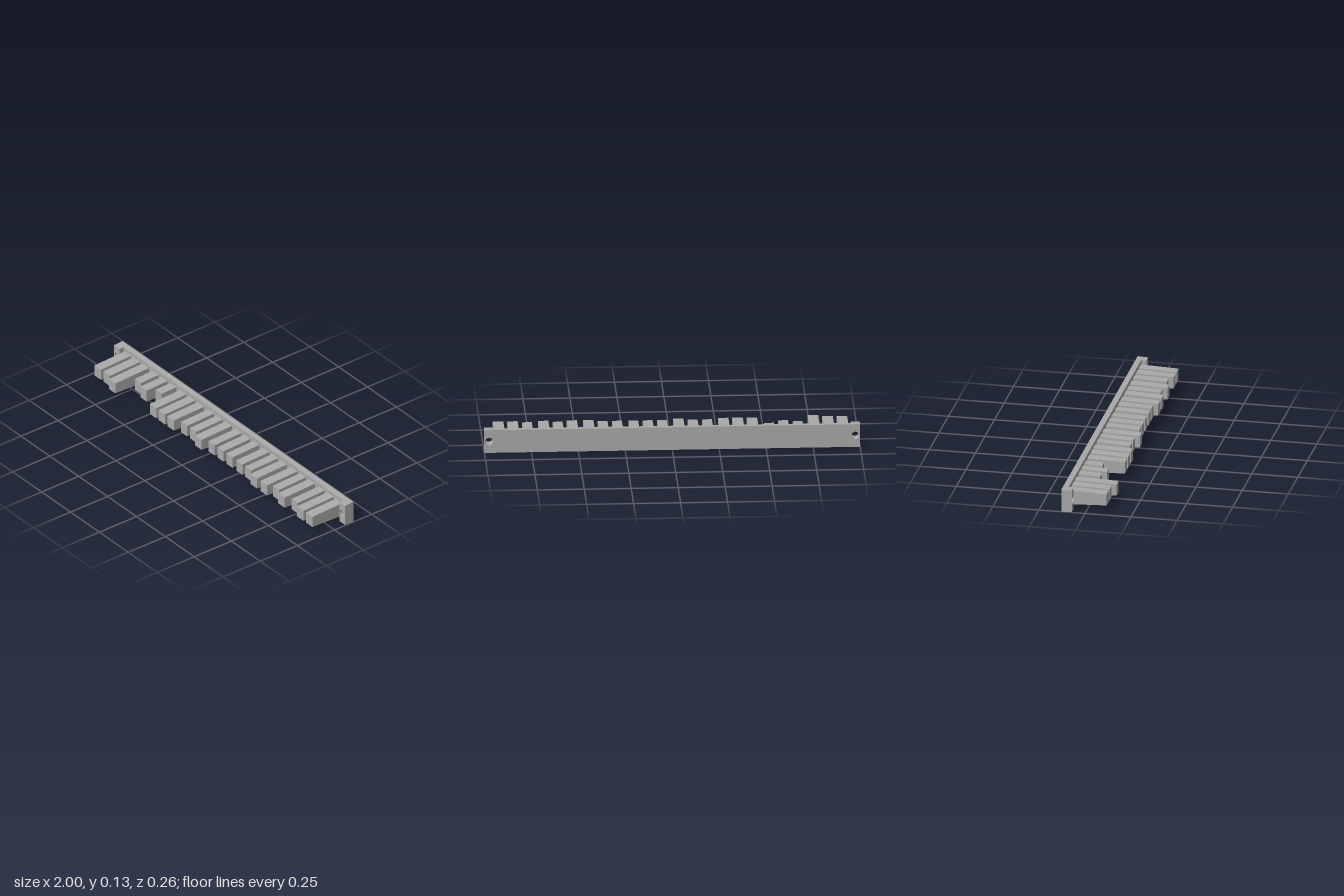
import * as THREE from 'three';

const MID = 0.0635; // height of the centre line

// Slab from z0 to z1 with round bolt holes, narrowing in y towards the front
function drilledSlab(x0, x1, z0, z1, holes) {
  const shape = new THREE.Shape();
  shape.moveTo(x0, -0.0635);
  shape.lineTo(x1, -0.0635);
  shape.lineTo(x1, 0.0635);
  shape.lineTo(x0, 0.0635);
  shape.closePath();
  for (const hx of holes) {
    const hole = new THREE.Path();
    for (let i = 0; i < 8; i++) {
      const a = Math.PI / 2 - (i * Math.PI) / 4;
      const x = hx + 0.022 * Math.cos(a), y = 0.022 * Math.sin(a);
      if (i === 0) hole.moveTo(x, y);
      else hole.lineTo(x, y);
    }
    hole.closePath();
    shape.holes.push(hole);
  }
  const geo = new THREE.ExtrudeGeometry(shape, { depth: z1 - z0, bevelEnabled: false });
  geo.translate(0, 0, z0);
  const p = geo.attributes.position;
  for (let i = 0; i < p.count; i++) {
    const taper = 1 - (p.getZ(i) + 0.128) * 0.9;
    p.setY(i, MID + p.getY(i) * taper);
  }
  geo.computeVertexNormals();
  return geo;
}

// Block standing out from the rail, its height shrinking towards the tip
function toothGeometry(x, tip) {
  const root = -0.1;
  const geo = new THREE.BoxGeometry(tip > 0.1 ? 0.056 : 0.052, 2, tip - root);
  geo.translate(x, 0, (tip + root) / 2);
  const p = geo.attributes.position;
  for (let i = 0; i < p.count; i++) {
    const half = 0.0385 - (p.getZ(i) + 0.07) * 0.038;
    p.setY(i, MID + p.getY(i) * half);
  }
  geo.computeVertexNormals();
  return geo;
}

export function createModel() {
  const model = new THREE.Group();
  model.name = 'toothedRail';
  const grey = new THREE.MeshStandardMaterial({ color: 0xaaaaaa });
  grey.name = 'grey';
  const add = (name, geo) => {
    const mesh = new THREE.Mesh(geo, grey);
    mesh.name = name;
    model.add(mesh);
  };

  // Long back rail with a bolt hole at each end
  add('rail', drilledSlab(-1, 1, -0.128, -0.098, [-0.975, 0.975]));

  // Raised end bosses around the bolt holes
  add('rightBoss', drilledSlab(-1, -0.951, -0.098, -0.071, [-0.975]));
  add('leftBoss', drilledSlab(0.951, 1, -0.098, -0.071, [0.975]));

  // Teeth in eight groups of three, each with its own tip depth
  const L = 0.106, S = 0.084;
  const tips = [
    [L, L, 0.128], [0.021, 0.043, 0], [L, L, L], [S, S, L],
    [S, S, S], [S, S, L], [L, S, L], [S, L, L],
  ];
  tips.forEach((group, g) => group.forEach((tip, i) => {
    add('tooth' + (g * 3 + i + 1), toothGeometry(-0.914 + g * 0.2396 + i * 0.0762, tip));
  }));
  return model;
}
